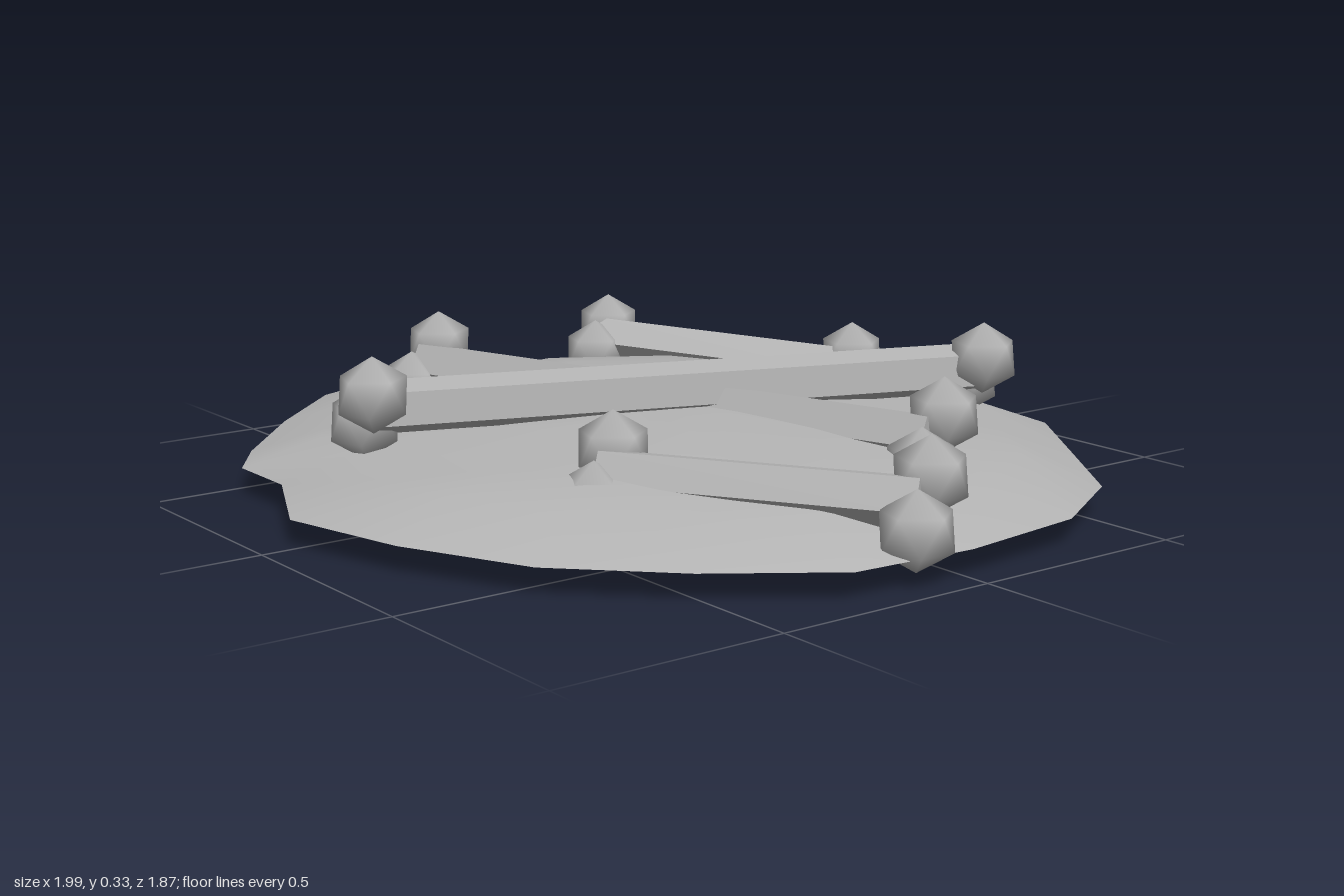
import * as THREE from 'three';
import { mergeVertices } from 'three/addons/utils/BufferGeometryUtils.js';

const stone = new THREE.MeshStandardMaterial({ color: 0xb4b4b4 });
stone.name = 'pale grey';

const BASE = 0.06, KNOB = 0.082, SHAFT = 0.06;

// Uneven outline of the mound, as x, z pairs
const RIM = [
  [-0.05, -0.94], [0.29, -0.89], [0.55, -0.71], [0.78, -0.55], [0.92, -0.31],
  [0.96, 0], [0.94, 0.28], [0.77, 0.52], [0.56, 0.73], [0.28, 0.86],
  [-0.01, 0.93], [-0.27, 0.81], [-0.45, 0.81], [-0.58, 0.72], [-0.8, 0.52],
  [-1, 0.3], [-0.96, 0.05], [-1, -0.3], [-0.77, -0.61], [-0.46, -0.85], [-0.33, -0.89],
];

// Rings from the rim inward: fraction of the rim radius, height
const RINGS = [[1, BASE], [0.82, 0.117], [0.62, 0.142], [0.38, 0.16], [0.18, 0.17]];

function surface(positions, indices) {
  const g = new THREE.BufferGeometry();
  g.setAttribute('position', new THREE.Float32BufferAttribute(positions, 3));
  g.setIndex(indices);
  g.computeVertexNormals();
  return g;
}

// Low smooth dome made of shrinking copies of the rim
function domeGeometry() {
  const pos = [], idx = [], n = RIM.length;
  RINGS.forEach(([f, y], r) => RIM.forEach(([x, z], i) => {
    const bump = r ? 0.006 * Math.sin(i * 2.1 + r * 1.7) * f : 0;
    pos.push(x * f, y + bump, z * f);
  }));
  const top = pos.length / 3;
  pos.push(0, 0.173, 0);
  for (let r = 0; r < RINGS.length; r++) {
    for (let i = 0; i < n; i++) {
      const a = r * n + i, b = r * n + (i + 1) % n;
      if (r === RINGS.length - 1) idx.push(a, top, b);
      else idx.push(a, a + n, b, b, a + n, b + n);
    }
  }
  return surface(pos, idx);
}

// Flat underside
function undersideGeometry() {
  const pos = [0, BASE, 0], idx = [], n = RIM.length;
  RIM.forEach(([x, z], i) => {
    pos.push(x, BASE, z);
    idx.push(0, 1 + i, 1 + (i + 1) % n);
  });
  return surface(pos, idx);
}

// Smooth twenty-sided knob standing on one corner
function knobGeometry() {
  let g = new THREE.IcosahedronGeometry(KNOB, 0);
  g.deleteAttribute('normal');
  g.deleteAttribute('uv');
  g = mergeVertices(g, 1e-4);
  g.rotateZ(-Math.atan(2 / (1 + Math.sqrt(5))));
  g.computeVertexNormals();
  return g;
}

function addMesh(parent, name, geometry) {
  const m = new THREE.Mesh(geometry, stone);
  m.name = name;
  parent.add(m);
  return m;
}

// Upper and lower knob at each end of every bone
const BONES = [
  { name: 'backRightBone', ends: [
    [[-0.86, 0.17, -0.46], [-0.82, 0.115, -0.39]],
    [[-0.28, 0.145, -0.79], [-0.25, 0.084, -0.72]]] },
  { name: 'lowerLongBone', ends: [
    [[-0.77, 0.2, 0.11], [-0.75, 0.115, 0.2]],
    [[0.55, 0.205, -0.31], [0.58, 0.115, -0.22]]] },
  { name: 'frontLeftBone', ends: [
    [[0.295, 0.18, 0.36], [0.34, 0.095, 0.44]],
    [[0.87, 0.19, 0.03], [0.92, 0.105, 0.11]]] },
  { name: 'upperLongBone', ends: [
    [[-0.14, 0.255, 0.66], [-0.22, 0.18, 0.635]],
    [[0.27, 0.235, -0.7], [0.19, 0.17, -0.72]]] },
];

function makeBone({ name, ends }, knob) {
  const bone = new THREE.Group();
  bone.name = name;
  const pairs = ends.map(e => e.map(p => new THREE.Vector3(...p)));
  pairs.flat().forEach(p => addMesh(bone, 'knob', knob).position.copy(p));

  // Five-sided shaft with one edge turned towards the upper knobs
  const [a, b] = pairs.map(([u, l]) => u.clone().add(l).multiplyScalar(0.5));
  const along = b.clone().sub(a);
  const length = along.length();
  along.normalize();
  const up = pairs[0][0].clone().sub(pairs[0][1]);
  up.addScaledVector(along, -up.dot(along)).normalize();
  const side = along.clone().cross(up);
  const g = new THREE.CylinderGeometry(SHAFT, SHAFT, length, 5).toNonIndexed();
  g.computeVertexNormals();
  const shaft = addMesh(bone, 'shaft', g);
  shaft.quaternion.setFromRotationMatrix(new THREE.Matrix4().makeBasis(side, along, up));
  shaft.position.copy(a).add(b).multiplyScalar(0.5);
  return bone;
}

export function createModel() {
  const model = new THREE.Group();
  model.name = 'bonePile';
  const mound = new THREE.Group();
  mound.name = 'mound';
  addMesh(mound, 'dome', domeGeometry());
  addMesh(mound, 'underside', undersideGeometry());
  model.add(mound);
  const knob = knobGeometry();
  BONES.forEach(b => model.add(makeBone(b, knob)));
  return model;
}
